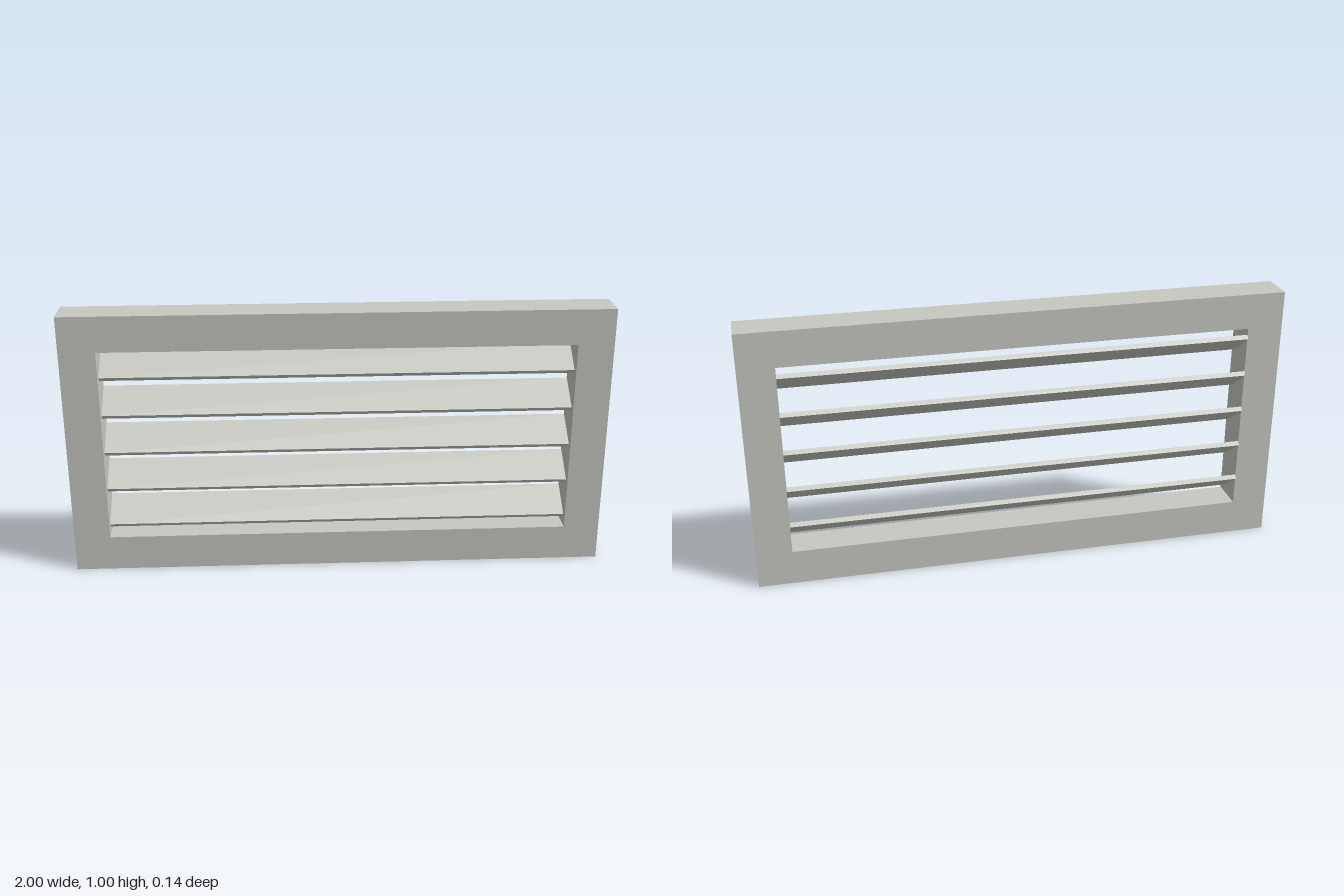
import * as THREE from 'three';

const DEPTH = 0.1333, BORDER = 0.1333, FRAME_Z = 0.0043;
const SLATS = 5, TILT = 0.644;

export function createModel() {
  const model = new THREE.Group();
  model.name = 'louverVent';
  const paint = new THREE.MeshStandardMaterial({ color: 0xc8c8c2 });
  paint.name = 'warm grey paint';

  // Rectangular frame with one opening
  const outline = new THREE.Shape([
    new THREE.Vector2(-1, 0), new THREE.Vector2(1, 0),
    new THREE.Vector2(1, 1), new THREE.Vector2(-1, 1),
  ]);
  const inX = 1 - BORDER, inTop = 1 - BORDER;
  outline.holes.push(new THREE.Path([
    new THREE.Vector2(-inX, BORDER), new THREE.Vector2(-inX, inTop),
    new THREE.Vector2(inX, inTop), new THREE.Vector2(inX, BORDER),
  ]));
  const frameGeometry = new THREE.ExtrudeGeometry(outline, { depth: DEPTH, bevelEnabled: false });
  frameGeometry.translate(0, 0, FRAME_Z - DEPTH / 2);
  const frame = new THREE.Mesh(frameGeometry, paint);
  frame.name = 'frame';
  model.add(frame);

  // Tilted slats, rear edge raised and just proud of the frame's back
  const slats = new THREE.Group();
  slats.name = 'slats';
  const slatGeometry = new THREE.BoxGeometry(2 * inX, 0.0175, 0.1333);
  const pitch = (inTop - BORDER) / SLATS;
  for (let i = 0; i < SLATS; i++) {
    const slat = new THREE.Mesh(slatGeometry, paint);
    slat.name = `slat${i + 1}`;
    slat.position.set(0, BORDER + pitch * (i + 0.5) + 0.002, -0.0123);
    slat.rotation.x = TILT;
    slats.add(slat);
  }
  model.add(slats);
  return model;
}
